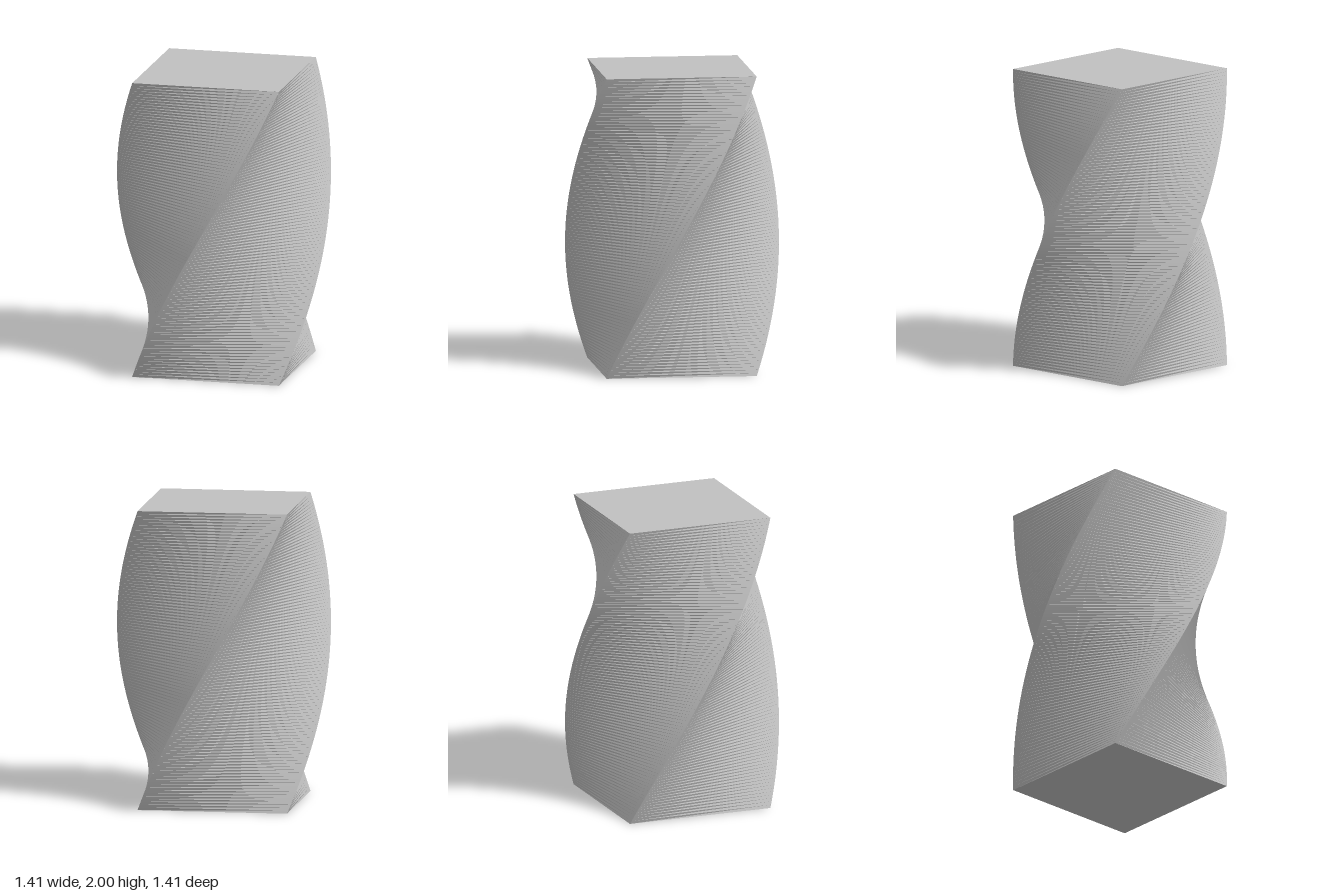
import * as THREE from 'three';

const HEIGHT = 2;
const LAYERS = 100;
const TWIST = Math.PI / 2; // quarter turn from bottom to top

export function createModel() {
  const group = new THREE.Group();
  group.name = 'twistedPrism';

  const grey = new THREE.MeshStandardMaterial({ color: 0xc0c0c0, flatShading: true });
  grey.name = 'grey';

  // Square column in thin layers, each turned a little further about y
  const geometry = new THREE.BoxGeometry(1, HEIGHT, 1, 1, LAYERS, 1);
  geometry.translate(0, HEIGHT / 2, 0);
  const pos = geometry.attributes.position;
  const p = new THREE.Vector3();
  const up = new THREE.Vector3(0, 1, 0);
  for (let i = 0; i < pos.count; i++) {
    p.fromBufferAttribute(pos, i);
    p.applyAxisAngle(up, (p.y / HEIGHT) * TWIST);
    pos.setXYZ(i, p.x, p.y, p.z);
  }
  geometry.computeVertexNormals();

  const column = new THREE.Mesh(geometry, grey);
  column.name = 'twistedColumn';
  group.add(column);
  return group;
}
